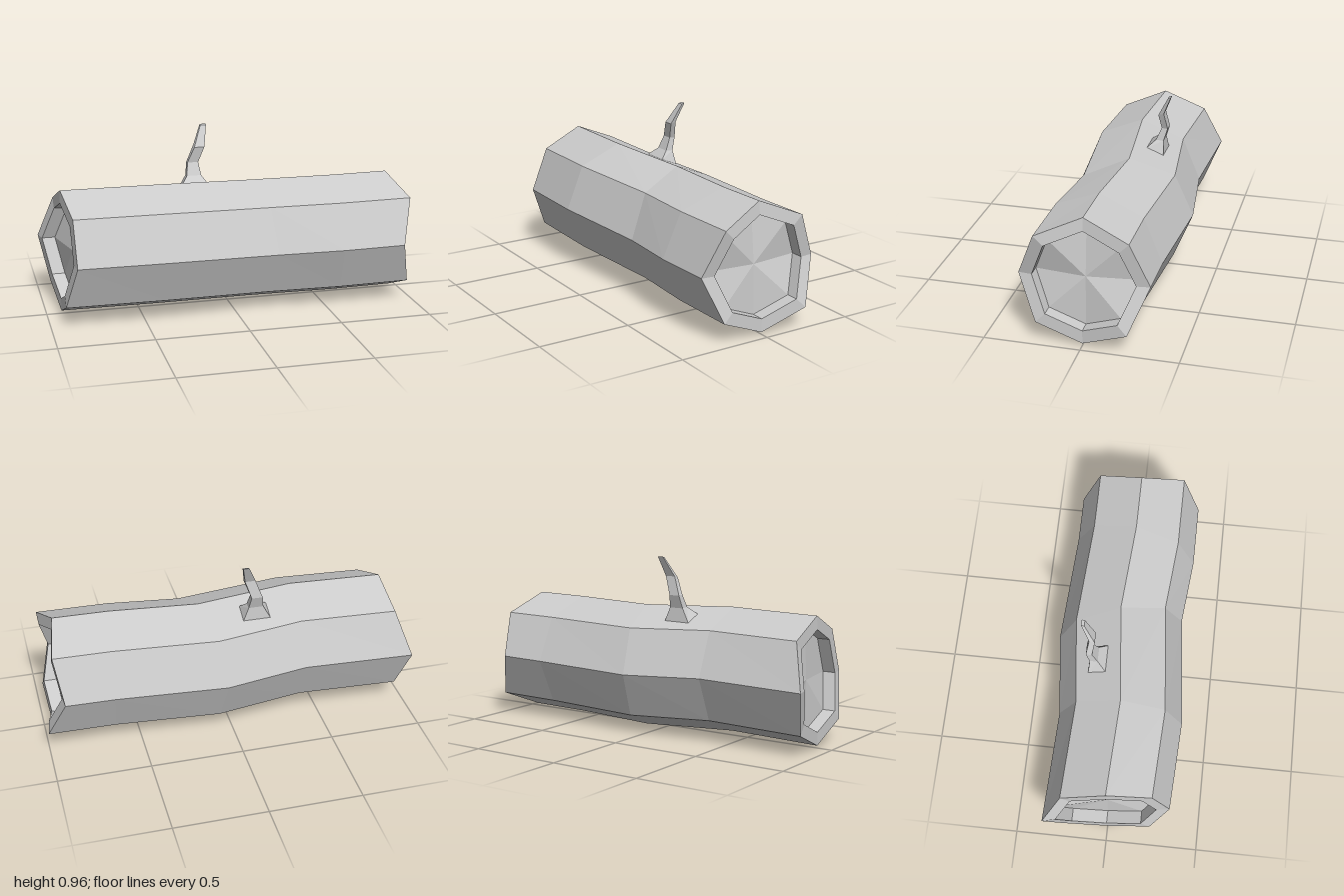
import * as THREE from 'three';

const material = new THREE.MeshStandardMaterial({ color: 0xcccccc, flatShading: true });

// Skin a series of equal-sized rings and close both ends with fans.
// Each ring turns right-handed around the direction of travel.
function loft(name, rings) {
  const pos = [];
  const tri = (...pts) => pts.forEach((p) => pos.push(p.x, p.y, p.z));
  const n = rings[0].length;
  for (let i = 0; i < rings.length - 1; i++) {
    for (let j = 0; j < n; j++) {
      const k = (j + 1) % n;
      const [a, b, c, d] = [rings[i][j], rings[i][k], rings[i + 1][k], rings[i + 1][j]];
      tri(a, b, c);
      tri(a, c, d);
    }
  }
  const cap = (ring, flip) => {
    const mid = centre(ring);
    ring.forEach((p, j) => {
      const q = ring[(j + 1) % n];
      if (flip) tri(mid, q, p);
      else tri(mid, p, q);
    });
  };
  cap(rings[0], true);
  cap(rings[rings.length - 1], false);
  const geo = new THREE.BufferGeometry();
  geo.setAttribute('position', new THREE.Float32BufferAttribute(pos, 3));
  geo.computeVertexNormals();
  const mesh = new THREE.Mesh(geo, material);
  mesh.name = name;
  return mesh;
}

function centre(ring) {
  return ring.reduce((s, p) => s.add(p), new THREE.Vector3()).divideScalar(ring.length);
}

// Octagon around the x axis, starting at the top and turning to the front.
function octagon(y, z, xAt) {
  return Array.from({ length: 8 }, (_, j) => {
    const a = (j * Math.PI) / 4;
    const dz = 0.335 * Math.sin(a);
    return new THREE.Vector3(xAt(j, dz), y + 0.335 * Math.cos(a), z + dz);
  });
}

// Recessed end: inner edge of the rim, and the floor pushed inwards by depth.
function recess(rim, depth) {
  const mid = centre(rim);
  const inner = rim.map((p) => p.clone().lerp(mid, 0.21));
  const floor = inner.map((p) => p.clone().setX(p.x + depth));
  return [inner, floor];
}

function buildTrunk() {
  // Ragged cut ends: x of every rim corner
  const leftX = [-0.905, -0.87, -0.865, -0.92, -0.92, -0.95, -1, -0.92];
  const rightX = [0.91, 0.97, 0.91, 0.97, 0.955, 1, 0.91, 0.95];
  const left = octagon(0.352, -0.005, (j) => leftX[j]);
  const right = octagon(0.35, 0, (j) => rightX[j]);
  // Bends along the trunk: x, y, z, slant of the ring
  const bends = [
    [-0.395, 0.357, 0.018, 0.01],
    [0.13, 0.338, -0.035, 0.25],
    [0.61, 0.346, 0, -0.12],
  ].map(([x, y, z, slant]) => octagon(y, z, (j, dz) => x + slant * dz));
  const [leftInner, leftFloor] = recess(left, 0.07);
  const [rightInner, rightFloor] = recess(right, -0.07);
  return loft('trunk', [leftFloor, leftInner, left, ...bends, right, rightInner, rightFloor]);
}

function buildTwig() {
  // Crooked path: x, y, z, half width, half depth, slope of the ring
  const rings = [
    [-0.16, 0.632, -0.125, 0.075, 0.047, 0.4],
    [-0.155, 0.69, -0.145, 0.04, 0.021, 0.1],
    [-0.155, 0.758, -0.17, 0.03, 0.016, 0.1],
    [-0.12, 0.85, -0.156, 0.028, 0.015, -0.3],
    [-0.086, 0.957, -0.206, 0.016, 0.008, -0.3],
  ].map(([x, y, z, w, d, slope]) =>
    [[1, 1], [1, -1], [-1, -1], [-1, 1]].map(
      ([sx, sz]) => new THREE.Vector3(x + sx * w, y + sz * d * slope, z + sz * d)
    )
  );
  return loft('twig', rings);
}

export function createModel() {
  const group = new THREE.Group();
  group.name = 'hollowLog';
  group.add(buildTrunk(), buildTwig());
  return group;
}
